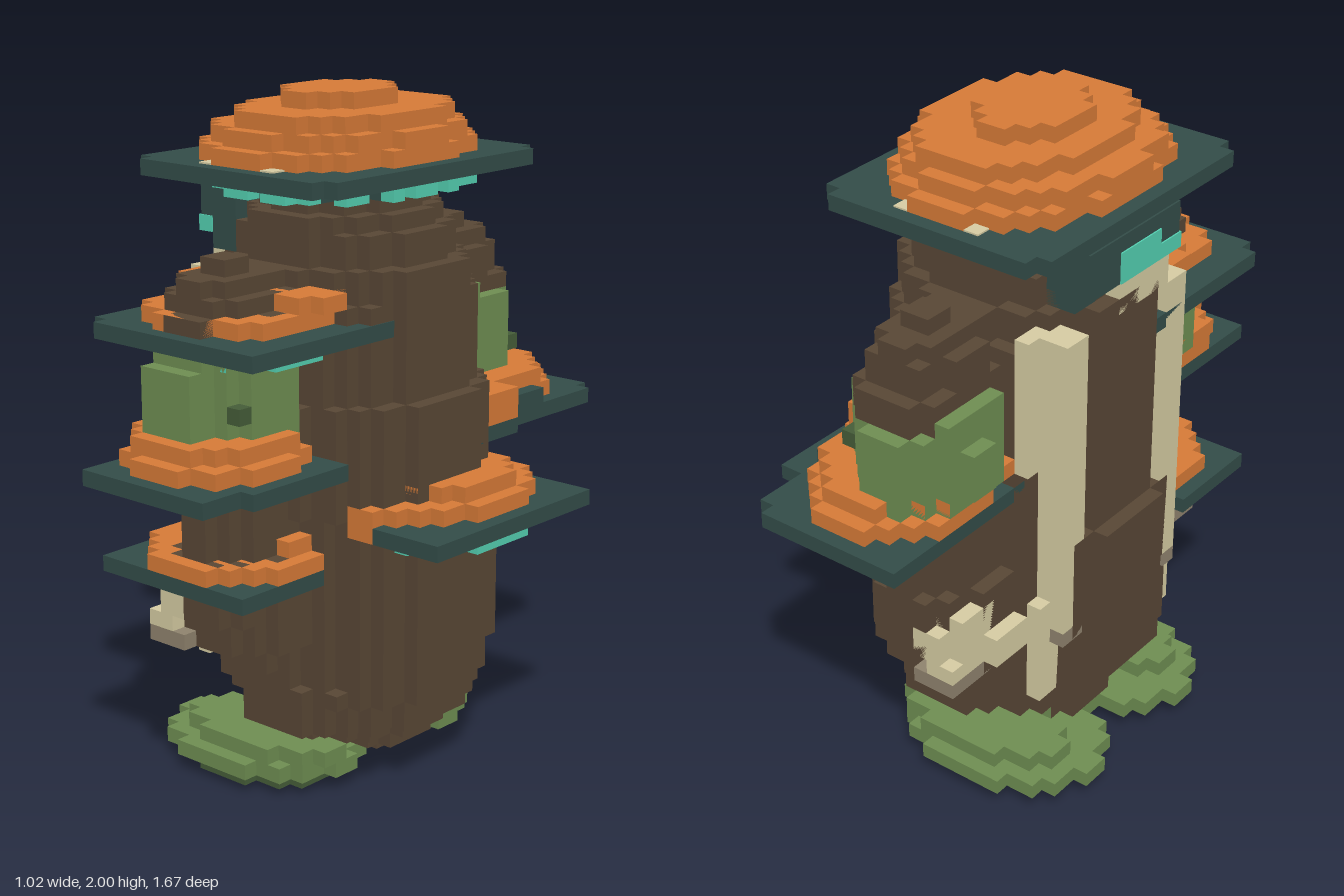
import * as THREE from 'three';
import { mergeGeometries } from 'three/addons/utils/BufferGeometryUtils.js';

const U = 2 / 43; // one block; all sizes below are in blocks

const mat = (name, color) => {
  const m = new THREE.MeshStandardMaterial({ color });
  m.name = name;
  return m;
};

export function createModel() {
  const root = new THREE.Group();
  root.name = 'mushroomTree';
  const bark = mat('bark', 0x5a4836);
  const cap = mat('capOrange', 0xda7c38);
  const teal = mat('darkTeal', 0x344e4a);
  const mint = mat('mint', 0x55d3b4);
  const moss = mat('moss', 0x709053);
  const darkMoss = mat('darkMoss', 0x465e39);
  const cream = mat('cream', 0xd9cfa5);
  const taupe = mat('taupe', 0x91856f);

  // one box from block limits
  const box = ([x0, x1, y0, y1, z0, z1]) =>
    new THREE.BoxGeometry((x1 - x0) * U, (y1 - y0) * U, (z1 - z0) * U)
      .translate((x0 + x1) / 2 * U, (y0 + y1) / 2 * U, (z0 + z1) / 2 * U);

  // stepped ellipse made of one row of blocks per z
  const disc = ([y0, y1, cx, cz, rx, rz]) => {
    const rows = [];
    for (let z = Math.round(cz - rz); z < Math.round(cz + rz); z++) {
      const t = (z + 0.5 - cz) / rz;
      const w = rx * Math.sqrt(Math.max(0, 1 - t * t));
      const x0 = Math.round(cx - w), x1 = Math.round(cx + w);
      if (x1 > x0) rows.push(box([x0, x1, y0, y1, z, z + 1]));
    }
    return rows;
  };

  // spaced single blocks around an ellipse
  const ring = (y, cx, cz, rx, rz, n) => {
    const out = [];
    for (let k = 0; k < n; k++) {
      const a = (k + 0.5) / n * Math.PI * 2;
      const x = Math.floor(cx + rx * Math.cos(a)), z = Math.floor(cz + rz * Math.sin(a));
      out.push(box([x, x + 1, y, y + 1, z, z + 1]));
    }
    return out;
  };

  const add = (name, material, geos) => {
    const m = new THREE.Mesh(mergeGeometries(geos), material);
    m.name = name;
    root.add(m);
  };
  const discs = (name, material, list) => add(name, material, list.flatMap(disc));
  const boxes = (name, material, list) => add(name, material, list.map(box));

  // main trunk, bottom to top
  discs('trunk', bark, [
    [1, 2, -1.5, 0, 3.5, 1], [2, 3, -1.5, 0, 5.5, 4], [3, 4, -1, 0, 6, 6],
    [4, 6, -0.5, 0, 6.5, 8], [6, 7, -1, 0, 8, 8], [7, 18, -1.5, 0, 8.5, 8],
    [18, 25, -1, 0, 8, 8], [25, 31, -1.5, 0, 7.5, 8], [31, 33, -1.5, 0, 7.5, 7],
    [33, 35, -1.5, 0, 6.5, 6], [35, 36, -1.5, 0, 5.5, 6], [36, 38, -1.5, 0, 4.5, 5],
  ]);
  boxes('barkRidges', bark, [[5, 6, 8, 16, 4, 5], [5, 6, 8, 14, -6, -5]]);

  // front and back side stems with rounded heads
  for (const [side, s] of [['front', 1], ['back', -1]]) {
    discs(side + 'Stem', bark, [
      [8, 10, -2, s * 7, 3, 2], [10, 12, -2, s * 8, 4, 4], [12, 16, -2, s * 8, 4, 5],
      [16, 21, -2, s * 8, 3.4, 5], [21, 28, -2, s * 9, 3.4, 4],
    ]);
  }
  discs('frontHead', bark, [
    [28, 31, -2, 9.5, 3.8, 3.5], [31, 32, -2, 9.5, 3.3, 3.5], [32, 33, -2, 9.5, 2.2, 3.4],
    [33, 34, -2, 10, 1.5, 1],
  ]);
  boxes('frontHeadBump', bark, [[-3, 0, 30, 31, 10, 14.05]]);
  discs('backHead', bark, [
    [28, 30, -2, -10, 3.4, 4], [30, 32, -2, -9.5, 3, 3.5], [32, 33, -2, -9.5, 2.2, 3.4],
    [33, 34, -2, -10, 1.5, 1],
  ]);

  // moss feet
  for (const s of [1, -1]) {
    discs('footSole', darkMoss, [[0, 1, -4, s * 5, 5, 4]]);
    discs('foot', moss, [[1, 2, -4, s * 5, 6.8, 5], [2, 3, -3, s * 6, 6, 3]]);
  }

  // moss clumps around the side stems
  discs('frontMoss', moss, [[23, 29, -2, 10.5, 4, 3.5]]);
  boxes('frontMossPanels', moss, [[-4, 0, 23, 28, 13, 15], [-6, 2, 23, 28, 8, 12]]);
  discs('backMoss', moss, [[23, 28, -2.5, -11, 3.6, 4]]);
  boxes('backMossPanels', moss, [
    [-6, 1, 23, 29, -13, -8], [-6, 2, 23, 29, -12, -8], [1, 2, 29, 30, -9, -8], [-7, -6, 24, 27, -12, -10],
  ]);
  boxes('mossShadowBlocks', darkMoss, [[1, 2, 25, 26, 12, 13], [1, 2, 25, 26, -13, -12]]);

  // crown: plate, stepped dome, hanging drops
  boxes('crownPlate', teal, [[-10, 6, 38, 39, -9, 9], [-9, 5, 38, 39, -10, -9], [-9, 5, 38, 39, 9, 10]]);
  discs('crownDome', cap, [
    [39, 40, -2, 0, 7, 9], [40, 41, -2, 0, 6.8, 8], [41, 42, -1.5, 0, 5.5, 7], [42, 43, -2, 0, 3, 4],
  ]);
  boxes('crownSpots', cream, [-5, 0].flatMap(x => [8, -9].map(z => [x, x + 1, 39, 39.1, z, z + 1])));
  discs('crownUnderside', teal, [[37, 38, -1.5, 0, 5.7, 7]]);
  add('crownDrops', mint, ring(37, -1.5, 0, 6.4, 7.9, 28));
  discs('crownGlow', mint, [[37.95, 38, -2, 0, 6.5, 8]]);

  // front shelves
  boxes('frontTopPlate', teal, [[-9, 5.06, 29, 30, 3, 14], [-8, 5.06, 29, 30, 14, 15]]);
  discs('frontTopCap', cap, [[30, 31, -2, 9, 5.4, 5], [31, 32, -2, 7, 5.6, 3]]);
  add('frontTopDrops', mint, ring(28, -2, 10, 4.9, 2.9, 14));
  boxes('frontTopSideDrops', mint, [[2, 3, 28, 29, 7, 9], [-7, -6, 28, 29, 7, 9]]);
  boxes('frontMiddlePlate', teal, [[-6, 4, 21, 22, 7, 18], [4, 5, 21, 22, 7, 15]]);
  discs('frontMiddleCap', cap, [[22, 23, -1, 12, 5, 5], [23, 24, -1.5, 11.5, 4.5, 4.5]]);
  discs('frontMiddleGlow', mint, [[20.96, 21, -1, 12.5, 4, 4.5]]);
  boxes('frontLowPlate', teal, [[-9, 3, 14, 15, 7, 14]]);
  discs('frontLowCap', cap, [[15, 16, -2.5, 9, 5.5, 5]]);
  boxes('frontLowCapNubs', cap, [[-6, -5, 16, 17, 7, 9], [1, 2, 16, 17, 7, 9]]);

  // back shelf
  boxes('backPlate', teal, [
    [-6, 4, 21, 22, -18, -6], [4, 5, 21, 22, -17, -6], [3, 6, 21, 22, -8, -4],
    [3, 5, 22, 23, -12, -8], [5, 6, 22, 23, -5, -4],
  ]);
  discs('backCap', cap, [[22, 23, -1, -11.5, 5, 5.5], [23, 24, -1, -10, 5, 6]]);
  boxes('backCapRoot', cap, [[3, 6, 22, 24, -8, -5]]);
  discs('backGlow', mint, [[20.96, 21, -1, -12, 4, 5]]);

  // left side shelf
  boxes('sidePlate', teal, [[6, 11, 17, 18, -9, 6]]);
  boxes('sideCapRoot', cap, [[4, 6, 17, 19, -8, 6]]);
  discs('sideCap', cap, [[18, 19, 5, -1.5, 5, 6.5], [19, 20, 5, -1.5, 4, 5]]);
  discs('sideDrops', mint, [[16, 17, 5, -1.5, 5, 5.5]]);

  // pale streaks running down the right side and stems
  for (const s of [1, -1]) {
    const zs = (a, b) => (s > 0 ? [a, b] : [-b, -a]);
    boxes('paleStreak', cream, [
      [-9, -7, 12, 32, ...zs(4, 6)], [-8, -7, 7, 14, ...zs(4, 7)], [-7, -6, 23, 32, ...zs(5, 7)],
    ]);
    boxes('streakEnd', taupe, [[-9, -7, 11, 12, ...zs(4, 6)]]);
    boxes('stemPatch', cream, [[-6, -4, 11, 12, ...zs(8, 13)], [-5, -3, 12, 14, ...zs(9, 13)]]);
    boxes('stemPatchEnd', taupe, [[-6, -3, 10, 11, ...zs(9, 13)]]);
  }
  boxes('backStemPatch', cream, [[-7, -5, 11, 13, -10, -7], [-6, -4, 12, 15, -12, -9]]);

  // teal canopy panel high on the right side, with its drops
  boxes('sidePanel', teal, [[-9, -6, 34, 37, -4, 5], [-8, -6, 33, 34, -4, 5]]);
  boxes('sidePanelDrops', mint, [[-9.1, -8, 34, 36, -1, 3], [-9.1, -8, 34, 35, 3, 5.1]]);
  boxes('sidePanelTrim', cream, [[-9, -8, 32, 34, -1, 4]]);

  return root;
}
